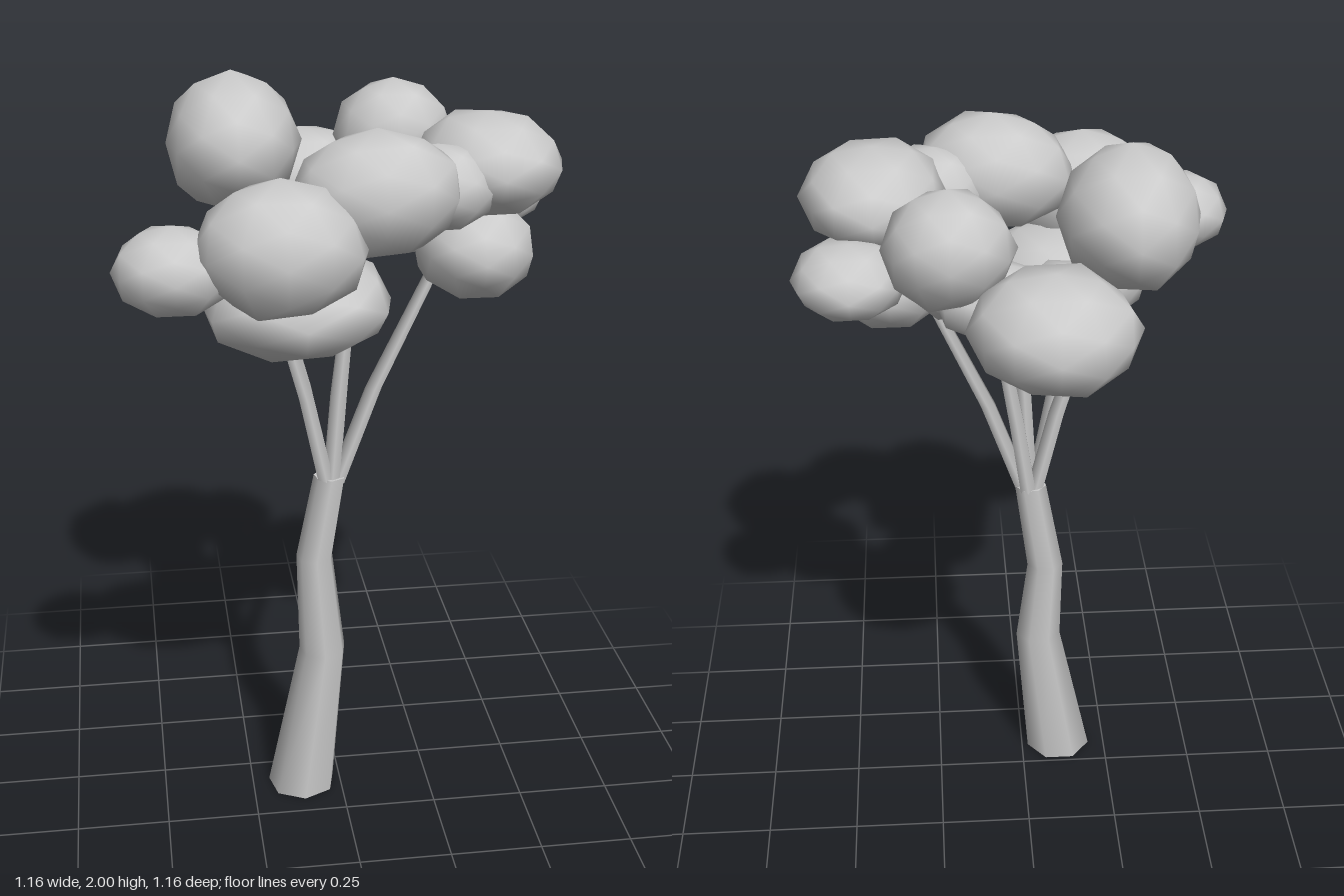
import * as THREE from 'three';
import { mergeVertices } from 'three/addons/utils/BufferGeometryUtils.js';

const material = new THREE.MeshStandardMaterial({ color: 0xcccccc });

// small seeded generator for the irregular foliage
let seed = 7;
const rand = () => (seed = (seed * 16807) % 2147483647) / 2147483647;

// closed tapering limb through rings given as [x, y, z, radius], bottom to top
function limb(name, rings, sides) {
  const n = rings.length - 1;
  const geo = new THREE.CylinderGeometry(1, 1, 1, sides, n);
  const p = geo.attributes.position;
  for (let i = 0; i < p.count; i++) {
    const [x, y, z, r] = rings[Math.round((p.getY(i) + 0.5) * n)];
    p.setXYZ(i, x + p.getX(i) * r, y, z + p.getZ(i) * r);
  }
  const mesh = new THREE.Mesh(geo, material);
  mesh.name = name;
  return mesh;
}

// lumpy low-poly leaf cluster with smooth normals
function cluster([x, y, z, rx, ry, rz]) {
  let geo = new THREE.IcosahedronGeometry(1, 1);
  geo.deleteAttribute('normal');
  geo.deleteAttribute('uv');
  geo = mergeVertices(geo, 1e-3);
  const p = geo.attributes.position;
  for (let i = 0; i < p.count; i++) {
    const k = 0.92 + 0.1 * rand();
    p.setXYZ(i, p.getX(i) * k * rx, p.getY(i) * k * ry, p.getZ(i) * k * rz);
  }
  geo.computeVertexNormals();
  const mesh = new THREE.Mesh(geo, material);
  mesh.position.set(x, y, z);
  mesh.name = 'leafCluster';
  return mesh;
}

export function createModel() {
  seed = 7;
  const tree = new THREE.Group();
  tree.name = 'tree';

  // bent trunk
  tree.add(limb('trunk', [
    [-0.11, 0, 0.1, 0.095],
    [-0.047, 0.43, 0.09, 0.065],
    [-0.063, 0.7, 0.052, 0.051],
    [-0.023, 0.95, 0.07, 0.044],
  ], 7));

  // branches fanning out of the trunk top
  const tips = [
    [-0.19, 1.54, 0.25], [0.25, 1.54, 0.09], [0.08, 1.58, -0.16],
    [-0.18, 1.55, -0.04], [0.01, 1.52, 0.21],
  ];
  for (const [x, y, z] of tips) {
    const dx = x + 0.023, dz = z - 0.07;
    tree.add(limb('branch', [
      [-0.023 + dx * 0.06, 0.93, 0.07 + dz * 0.06, 0.024],
      [-0.023 + dx * 0.42, 1.2, 0.07 + dz * 0.42, 0.022],
      [x, y, z, 0.017],
    ], 6));
  }

  // crown: centre x, y, z and radii of each leaf cluster
  const crown = new THREE.Group();
  crown.name = 'crown';
  [
    [-0.05, 1.65, -0.39, 0.21, 0.15, 0.2],    // back
    [-0.25, 1.82, -0.12, 0.18, 0.18, 0.24],   // back right, highest
    [0.19, 1.8, -0.25, 0.16, 0.15, 0.16],     // back left
    [0.43, 1.67, -0.12, 0.145, 0.1, 0.15],    // far left
    [0.37, 1.8, 0.1, 0.19, 0.13, 0.23],       // left
    [0.06, 1.78, 0.3, 0.22, 0.16, 0.18],      // front
    [0.22, 1.77, 0.22, 0.15, 0.11, 0.14],     // bridge from front to left
    [-0.18, 1.68, 0.4, 0.21, 0.17, 0.19],     // front right
    [-0.43, 1.63, 0.36, 0.15, 0.11, 0.15],    // far right
    [-0.13, 1.51, 0.27, 0.25, 0.14, 0.24],    // low front
    [0.34, 1.58, 0.1, 0.16, 0.13, 0.19],      // low left
    [0.19, 1.63, -0.04, 0.1, 0.1, 0.15],      // inner left
    [-0.1, 1.59, -0.14, 0.14, 0.11, 0.18],    // low back
    [0.08, 1.66, -0.24, 0.15, 0.1, 0.12],     // bridge along the back
  ].forEach((c) => crown.add(cluster(c)));
  tree.add(crown);
  return tree;
}
